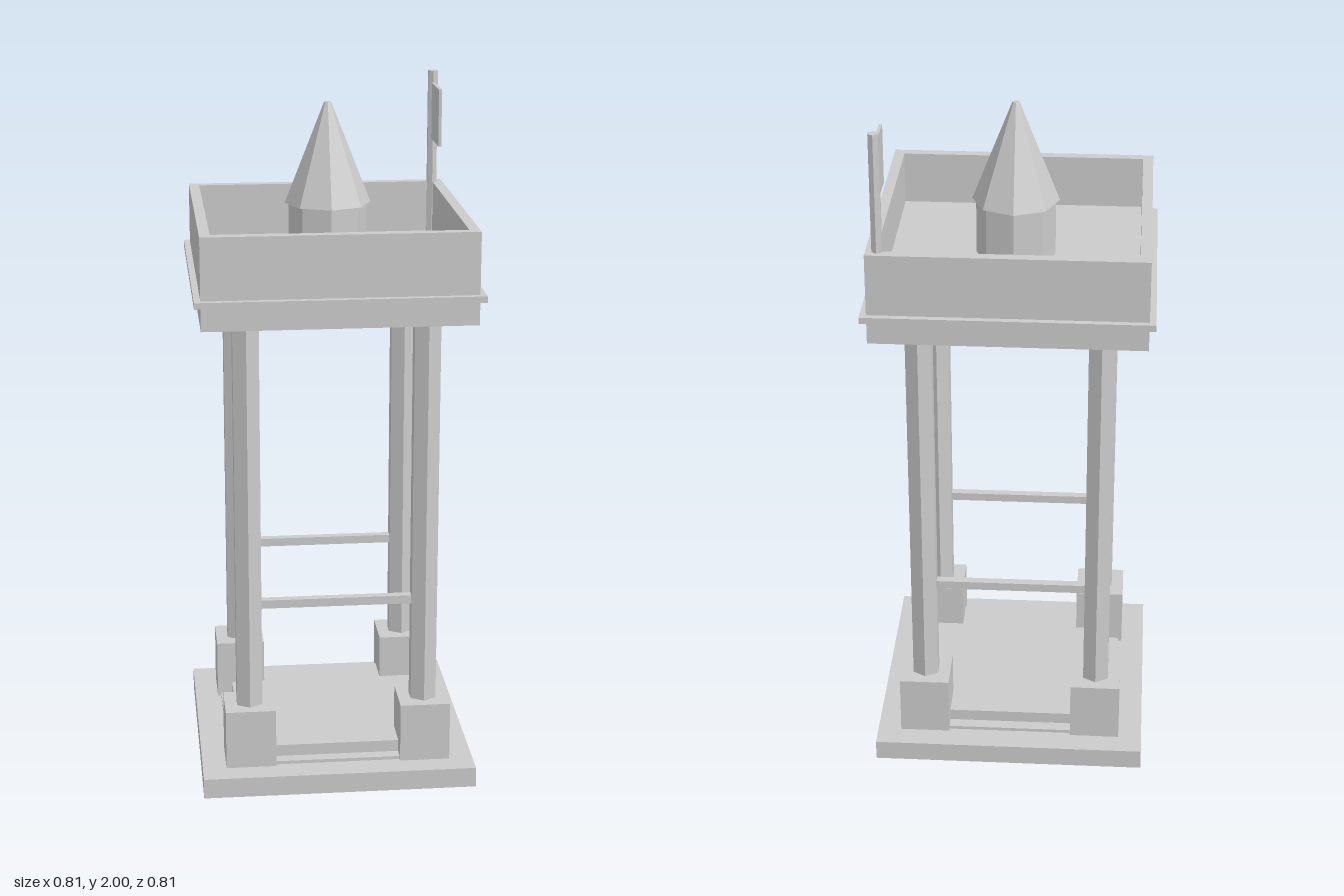
import * as THREE from 'three';

const material = new THREE.MeshStandardMaterial({ color: 0xcccccc, flatShading: true });

export function createModel() {
  const model = new THREE.Group();
  model.name = 'watchtower';

  const add = (name, geometry, x, y, z) => {
    const mesh = new THREE.Mesh(geometry, material);
    mesh.name = name;
    mesh.position.set(x, y, z);
    model.add(mesh);
    return mesh;
  };
  // Box and prism placed by their bottom and top heights
  const box = (name, w, d, y0, y1, x = 0, z = 0) =>
    add(name, new THREE.BoxGeometry(w, y1 - y0, d), x, (y0 + y1) / 2, z);
  const prism = (name, rTop, rBottom, sides, y0, y1, x = 0, z = 0) =>
    add(name, new THREE.CylinderGeometry(rTop, rBottom, y1 - y0, sides), x, (y0 + y1) / 2, z);
  const square = (Type, h) =>
    new Type([[-h, -h], [h, -h], [h, h], [-h, h]].map(([x, y]) => new THREE.Vector2(x, y)));
  // Square frame, open in the middle
  const frame = (name, outer, inner, y0, y1) => {
    const shape = square(THREE.Shape, outer);
    shape.holes.push(square(THREE.Path, inner));
    const geometry = new THREE.ExtrudeGeometry(shape, { depth: y1 - y0, bevelEnabled: false });
    geometry.rotateX(-Math.PI / 2);
    return add(name, geometry, 0, y0, 0);
  };

  // Stepped base
  box('base', 0.8, 0.8, 0, 0.06);
  box('baseStep', 0.64, 0.64, 0.06, 0.07);
  box('baseSlab', 0.57, 0.57, 0.07, 0.105);

  // Footings and hexagonal columns
  for (const x of [-0.257, 0.257]) {
    for (const z of [-0.257, 0.257]) {
      box('footing', 0.147, 0.147, 0.06, 0.237, x, z);
      prism('column', 0.043, 0.043, 6, 0.237, 1.4, x, z);
    }
  }

  // Cross bars at front and back
  for (const z of [-0.257, 0.257]) box('crossBar', 0.46, 0.025, 0.535, 0.56, 0, z);

  // Platform with parapet and trim
  box('platform', 0.77, 0.77, 1.4, 1.51);
  frame('parapet', 0.385, 0.355, 1.5, 1.663);
  frame('trim', 0.403, 0.38, 1.468, 1.486);

  // Turret in the middle of the platform
  prism('turretBody', 0.113, 0.113, 8, 1.51, 1.676);
  prism('turretRoof', 0.01, 0.124, 8, 1.676, 1.965);

  // Flag at the rear left corner
  prism('flagPole', 0.016, 0.016, 6, 1.51, 2, 0.353, -0.355);
  box('flag', 0.009, 0.155, 1.797, 1.965, 0.353, -0.2725);

  return model;
}
